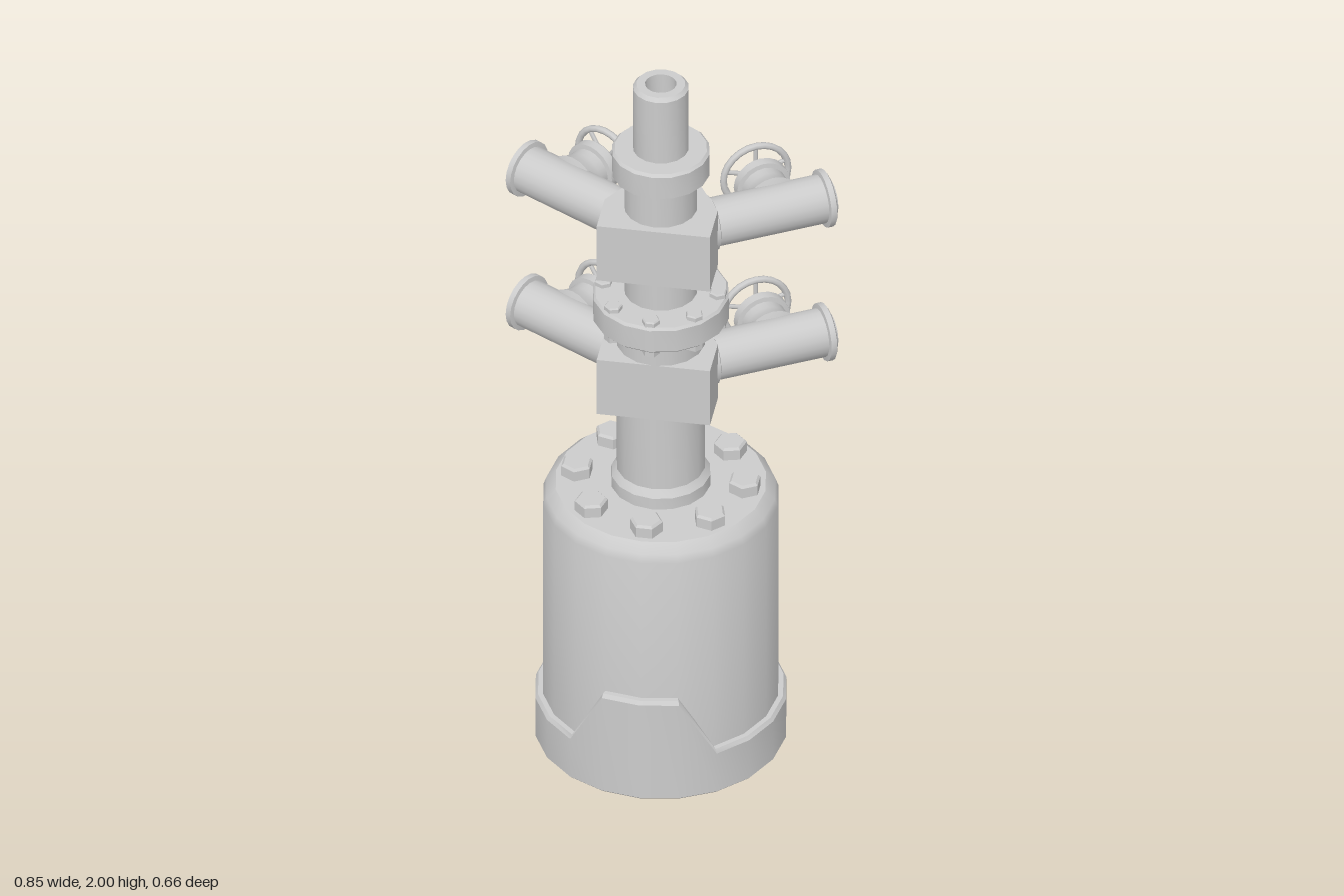
import * as THREE from 'three';
import { toCreasedNormals, mergeGeometries } from 'three/addons/utils/BufferGeometryUtils.js';

const material = new THREE.MeshStandardMaterial({ color: 0xcccccc });

// Surface of revolution from [radius, height] pairs, listed bottom to top
function turned(points, sides) {
  const profile = points.map(([r, y]) => new THREE.Vector2(r, y));
  return toCreasedNormals(new THREE.LatheGeometry(profile, sides), 0.6);
}

function add(parent, name, geometry) {
  const mesh = new THREE.Mesh(geometry, material);
  mesh.name = name;
  parent.add(mesh);
  return mesh;
}

// Hexagonal bolt heads spaced evenly on a circle
function boltRing(parent, name, ringRadius, size, y0, y1) {
  const c = size * 0.15;
  for (let i = 0; i < 8; i++) {
    const g = turned([[0, y0], [size, y0], [size, y1 - c], [size - c, y1], [0, y1]], 6);
    g.rotateY(Math.PI / 6).translate(0, 0, ringRadius).rotateY(i * Math.PI / 4);
    add(parent, name, g);
  }
}

// Foot band whose rim rises to a raised tab at front and back
function footBand() {
  const sides = 20;
  const g = new THREE.LatheGeometry(
    [[0, 0], [0.315, 0], [0.32, 0.005], [0.32, 0.122], [0.313, 0.132], [0.29, 0.132]]
      .map(([r, y]) => new THREE.Vector2(r, y)), sides);
  const p = g.attributes.position;
  for (let i = 0; i < p.count; i++) {
    const step = Math.round(Math.atan2(p.getX(i), Math.abs(p.getZ(i))) / (2 * Math.PI / sides));
    if (p.getY(i) > 0.1 && Math.abs(step) <= 1) p.setY(i, p.getY(i) + 0.17);
  }
  return toCreasedNormals(g, 0.6);
}

// Handwheel lying in the xz plane: rim, hub and five spokes
function handwheelGeometry() {
  const parts = [
    new THREE.TorusGeometry(0.087, 0.009, 8, 24).rotateX(Math.PI / 2),
    new THREE.CylinderGeometry(0.018, 0.018, 0.022, 12),
  ];
  for (let i = 0; i < 5; i++) {
    parts.push(new THREE.CylinderGeometry(0.006, 0.006, 0.085, 6)
      .translate(0, 0.0425, 0).rotateX(Math.PI / 2).rotateY(i * 2 * Math.PI / 5));
  }
  return mergeGeometries(parts);
}

// Side outlet along local +x, with its valve branch on one side
function outletArm(side) {
  const arm = new THREE.Group();
  arm.name = side > 0 ? 'leftOutlet' : 'rightOutlet';
  const pipe = turned([
    [0, 0.1], [0.072, 0.1], [0.072, 0.136], [0.063, 0.14], [0.063, 0.43], [0.075, 0.432],
    [0.075, 0.447], [0.068, 0.451], [0.052, 0.451], [0.048, 0.46], [0, 0.46],
  ], 20).rotateZ(-Math.PI / 2);
  add(arm, 'outletPipe', pipe);

  const valve = new THREE.Group();
  valve.name = 'valve';
  valve.position.x = 0.313;
  valve.rotation.x = -side * Math.PI / 2;
  add(valve, 'valveBranch', turned([
    [0, 0], [0.074, 0.03], [0.065, 0.05], [0.06, 0.07], [0.06, 0.095], [0.072, 0.097],
    [0.072, 0.122], [0.068, 0.127], [0, 0.127],
  ], 20));
  add(valve, 'valveStem', turned([[0.014, 0.12], [0.014, 0.165], [0, 0.165]], 12));
  add(valve, 'handwheel', handwheelGeometry()).position.y = 0.156;
  arm.add(valve);

  arm.rotation.y = side > 0 ? Math.PI / 6 : Math.PI * 5 / 6;
  return arm;
}

// Block with chamfered back corners carrying two outlets
function valveBlock(y) {
  const group = new THREE.Group();
  group.name = 'valveBlock';
  group.position.y = y;
  const outline = new THREE.Shape([
    [-0.145, -0.112], [0.145, -0.112], [0.145, 0.005],
    [0.07, 0.128], [-0.07, 0.128], [-0.145, 0.005],
  ].map(([x, v]) => new THREE.Vector2(x, v)));
  const body = new THREE.ExtrudeGeometry(outline, { depth: 0.168, bevelEnabled: false })
    .translate(0, 0, -0.084).rotateX(-Math.PI / 2);
  add(group, 'blockBody', body);
  group.add(outletArm(1), outletArm(-1));
  return group;
}

export function createModel() {
  const model = new THREE.Group();
  model.name = 'wellhead';
  const tower = new THREE.Group();
  tower.name = 'tower';
  tower.position.z = 0.008;
  model.add(tower);

  // Base drum
  add(tower, 'footBand', footBand());
  add(tower, 'drum', turned([
    [0.3, 0.02], [0.3, 0.72], [0.292, 0.742], [0.268, 0.765], [0, 0.765],
  ], 20));
  boltRing(tower, 'drumBolt', 0.215, 0.042, 0.76, 0.8);

  // Lower stem with its foot ring
  add(tower, 'lowerStem', turned([
    [0.127, 0.76], [0.127, 0.798], [0.113, 0.818], [0.113, 1.28], [0, 1.28],
  ], 16));

  // Bolted middle flange
  add(tower, 'middleFlange', turned([
    [0, 1.283], [0.168, 1.283], [0.174, 1.289], [0.174, 1.353], [0.168, 1.36], [0, 1.36],
  ], 16));
  boltRing(tower, 'flangeBolt', 0.147, 0.023, 1.268, 1.374);

  // Upper stem, collar and open top pipe
  add(tower, 'upperStem', turned([[0.093, 1.35], [0.093, 1.74], [0, 1.74]], 16));
  add(tower, 'collar', turned([
    [0, 1.73], [0.125, 1.73], [0.125, 1.795], [0.118, 1.802], [0, 1.802],
  ], 16));
  add(tower, 'topPipe', turned([
    [0.071, 1.79], [0.071, 1.99], [0.062, 2], [0.04, 2], [0.04, 1.93], [0, 1.93],
  ], 16));

  tower.add(valveBlock(1.118), valveBlock(1.534));
  return model;
}
